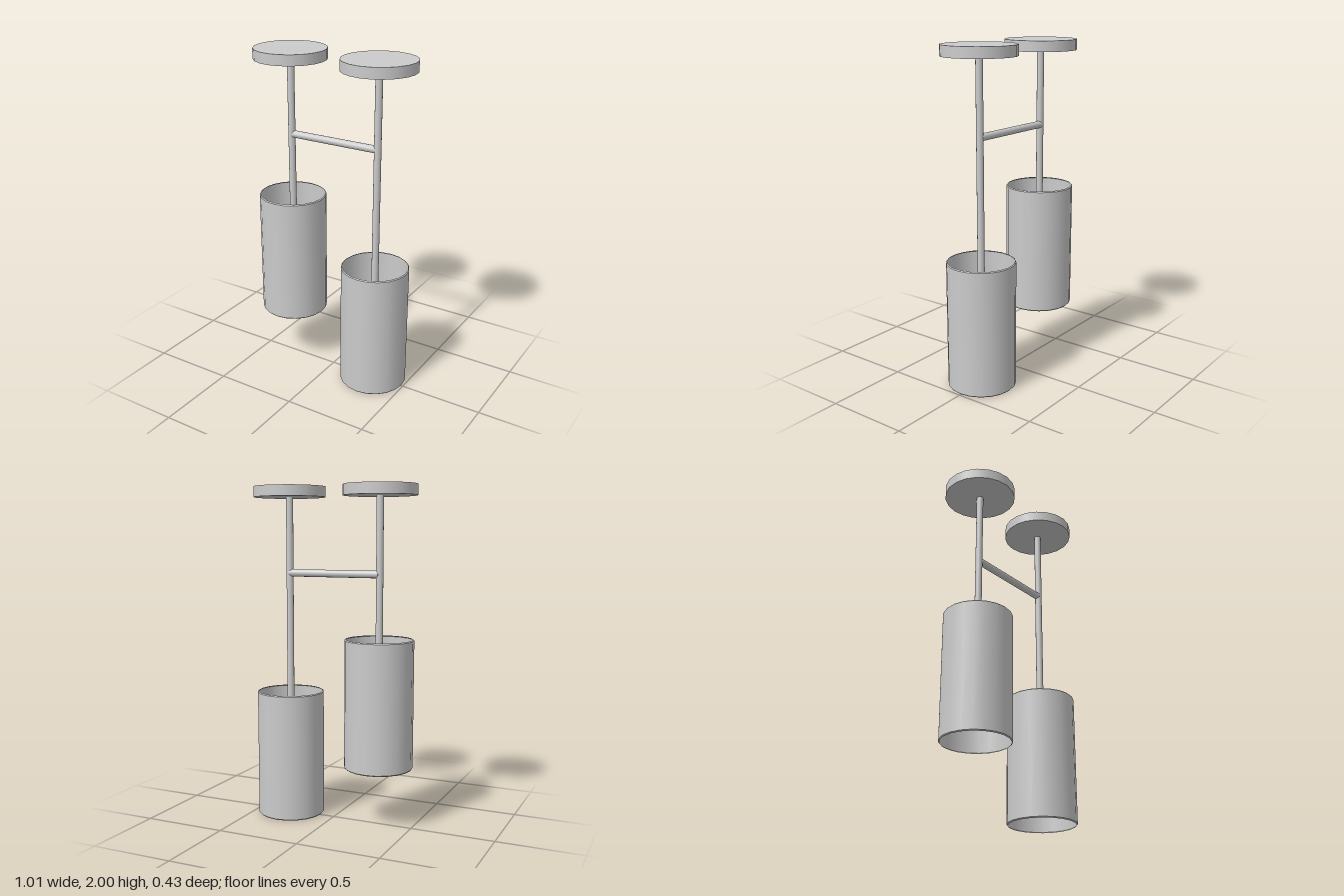
import * as THREE from 'three';

const grey = new THREE.MeshStandardMaterial({ color: 0xcccccc });
const greyThin = new THREE.MeshStandardMaterial({ color: 0xcccccc, side: THREE.DoubleSide });

function add(parent, name, geometry, y, material = grey) {
  const mesh = new THREE.Mesh(geometry, material);
  mesh.name = name;
  mesh.position.y = y;
  parent.add(mesh);
  return mesh;
}

// One hanging lamp: ceiling plate, rod and open tubular shade
function pendant(name, x, shadeBottom) {
  const lamp = new THREE.Group();
  lamp.name = name;
  lamp.position.x = x;

  const height = 0.766, radius = 0.203, lip = 0.006;
  const shadeTop = shadeBottom + height;

  add(lamp, 'ceilingPlate', new THREE.CylinderGeometry(0.215, 0.215, 0.063, 20), 1.9685);

  // The rod runs down inside the shade
  const rodBottom = shadeTop - 0.25, rodTop = 1.94;
  add(lamp, 'rod', new THREE.CylinderGeometry(0.021, 0.021, rodTop - rodBottom, 12), (rodTop + rodBottom) / 2);

  // Thin wall, with a small inward lip at each end
  add(lamp, 'shade', new THREE.CylinderGeometry(radius, radius, height - 2 * lip, 20, 1, true),
    shadeBottom + height / 2, greyThin);
  add(lamp, 'upperLip', new THREE.CylinderGeometry(radius - lip, radius, lip, 20, 1, true),
    shadeTop - lip / 2, greyThin);
  add(lamp, 'lowerLip', new THREE.CylinderGeometry(radius, radius - lip, lip, 20, 1, true),
    shadeBottom + lip / 2, greyThin);
  return lamp;
}

export function createModel() {
  const model = new THREE.Group();
  model.name = 'twinPendantLamp';
  model.add(pendant('rightPendant', -0.291, 0.35));
  model.add(pendant('leftPendant', 0.289, 0.005));

  // Bar joining the two rods
  const bar = add(model, 'crossbar', new THREE.CylinderGeometry(0.022, 0.022, 0.575, 12), 1.49);
  bar.rotation.z = Math.PI / 2;
  bar.position.z = -0.002;
  return model;
}
